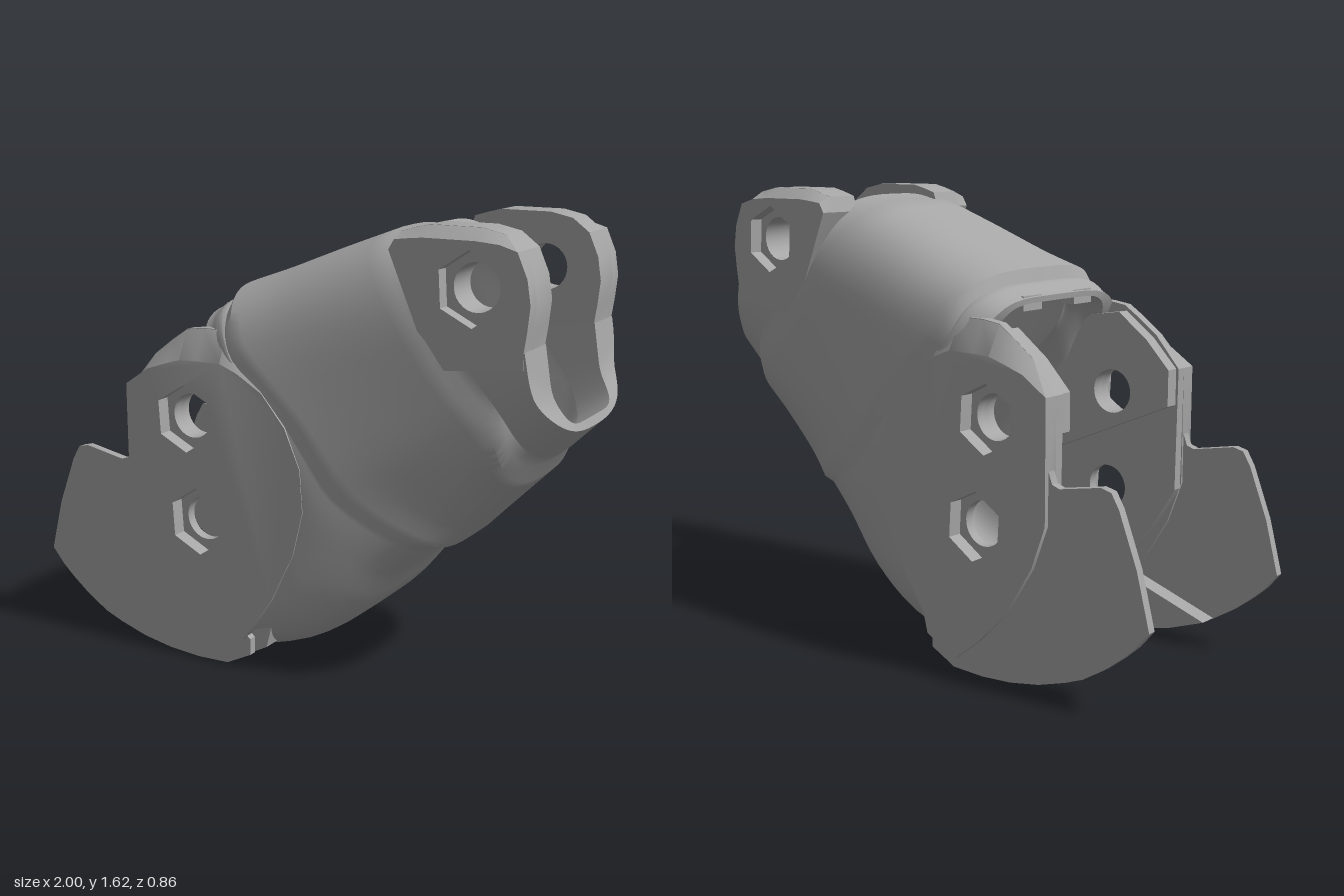
import * as THREE from 'three';
import { toCreasedNormals } from 'three/addons/utils/BufferGeometryUtils.js';

const grey = new THREE.MeshStandardMaterial({ color: 0xa6a6a6 });
grey.name = 'grey plastic';

// Cross-sections: top x y, bottom x y, half width, squareness,
// x shift at 1/4, 1/2 and 3/4 height, side wall, top wall, bottom wall
const knuckle = [
  [-0.33, 1.275, -0.22, 0.008, 0.42, 4.6, 0.2, 0.2, 0.12, 0.09, 0.02, 0.05],
  [-0.31, 1.285, 0.05, 0.088, 0.422, 4.6, 0.1, 0.12, 0.06, 0.11, 0.02, 0.06],
  [-0.29, 1.3, 0.25, 0.225, 0.423, 4.6, 0, 0.06, 0, 0.15, 0.025, 0.06],
  [-0.275, 1.31, 0.4, 0.4, 0.423, 4.4, -0.05, 0, -0.03, 0.2, 0.03, 0.06],
  [-0.26, 1.315, 0.52, 0.508, 0.418, 4.1, -0.1, -0.06, -0.08, 0.215, 0.03, 0.06],
];
const sleeve = [
  [-0.245, 1.362, 0.58, 0.515, 0.428, 3.6, -0.1, -0.06, -0.08, 0.23, 0.07, 0.07],
  [-0.1, 1.415, 0.65, 0.585, 0.414, 3.3, -0.05, -0.04, -0.06, 0.215, 0.07, 0.07],
  [0.1, 1.495, 0.75, 0.685, 0.4, 3.15, 0.02, -0.01, -0.02, 0.195, 0.07, 0.07],
  [0.32, 1.578, 0.835, 0.77, 0.391, 3, 0.08, 0.03, 0.02, 0.18, 0.065, 0.065],
];
const rim = [
  [0.36, 1.575, 0.86, 0.825, 0.379, 3, 0.08, 0.03, 0.02, 0.165, 0.05, 0.06],
  [0.45, 1.597, 0.9, 0.862, 0.379, 2.9, 0.03, 0, 0, 0.164, 0.05, 0.05],
];
const lip = [0.87, 1.55, 1, 0.96, 0.385, 2.6, -0.04, -0.032, 0, 0.17, 0.03, 0.03];

// Adds smooth in-between sections
function refine(list, parts) {
  const out = [];
  const at = i => list[Math.max(0, Math.min(list.length - 1, i))];
  for (let i = 0; i < list.length - 1; i++)
    for (let k = 0; k < parts; k++) {
      const t = k / parts;
      out.push(list[i].map((p, c) => {
        const q = at(i + 1)[c], m0 = (q - at(i - 1)[c]) / 2, m1 = (at(i + 2)[c] - p) / 2;
        const d = q - p;
        return p + m0 * t + (3 * d - 2 * m0 - m1) * t * t + (m0 + m1 - 2 * d) * t * t * t;
      }));
    }
  return [...out, list[list.length - 1]];
}

const power = (v, e) => Math.sign(v) * Math.pow(Math.abs(v), e);

function sectionPoint(section, angle, inner) {
  const [tx, ty, bx, by, w, squareness, b1, b2, b3, side, topWall, bottomWall] = section;
  const n = inner ? 6 : squareness;
  const height = Math.hypot(tx - bx, ty - by);
  const low = inner ? bottomWall / height : 0, high = inner ? 1 - topWall / height : 1;
  const h = low + (high - low) * (0.5 + 0.5 * power(Math.sin(angle), 2 / n));
  const z = (w - (inner ? side : 0)) * power(Math.cos(angle), 2 / n);
  const bow = [0, b1, b2, b3, 0];
  const k = Math.min(3, Math.floor(h * 4)), f = h * 4 - k;
  const shift = bow[k] + (bow[k + 1] - bow[k]) * f * f * (3 - 2 * f);
  return [bx + (tx - bx) * h + shift, by + (ty - by) * h, z];
}

// Hollow loft: outside forwards, inside backwards, closed at both ends
function shell(sections, from, to, steps) {
  const rows = [
    ...sections.map(s => [s, false]),
    ...sections.slice().reverse().map(s => [s, true]),
    [sections[0], false],
  ];
  const pos = [], index = [];
  for (const [s, inner] of rows)
    for (let j = 0; j <= steps; j++)
      pos.push(...sectionPoint(s, from + (to - from) * j / steps, inner));
  for (let i = 0; i < rows.length - 1; i++)
    for (let j = 0; j < steps; j++) {
      const a = i * (steps + 1) + j, b = a + steps + 1;
      index.push(a, b, a + 1, b, b + 1, a + 1);
    }
  const g = new THREE.BufferGeometry();
  g.setAttribute('position', new THREE.Float32BufferAttribute(pos, 3));
  g.setIndex(index);
  return toCreasedNormals(g, 0.55);
}

// Flat plate on one side; on its outer face, heights above a level are
// pulled down so that the top edge slopes
function plate(points, z0, z1, side, holes = [], level = 9, slope = 1) {
  const shape = new THREE.Shape(points.map(p => new THREE.Vector2(...p)));
  for (const [x, y, r, sides] of holes) {
    const ring = [];
    for (let i = 0; i < sides; i++) {
      const a = i / sides * Math.PI * 2 + Math.PI / 2 + 0.06;
      ring.push(new THREE.Vector2(x + r * Math.cos(a), y + r * Math.sin(a)));
    }
    shape.holes.push(new THREE.Path(ring));
  }
  const g = new THREE.ExtrudeGeometry(shape, { depth: z1 - z0, bevelEnabled: false });
  g.translate(0, 0, side > 0 ? z0 : -z1);
  const p = g.attributes.position;
  for (let i = 0; i < p.count; i++) {
    const y = p.getY(i);
    if (Math.abs(p.getZ(i)) > z1 - 0.001 && y > level) p.setY(i, level + (y - level) * slope);
  }
  return toCreasedNormals(g, 0.5);
}

const pins = [[-0.355, 0.9], [-0.305, 0.53]];
const lugPin = [[0.717, 1.435]];
const hex = list => list.map(([x, y]) => [x, y, 0.122, 6]);
const round = list => list.map(([x, y]) => [x, y, 0.08, 28]);

const tail = [[-1, 0.31], [-0.95, 0.25], [-0.9, 0.205], [-0.83, 0.15], [-0.75, 0.1], [-0.68, 0.072],
  [-0.57, 0.037], [-0.45, 0.015], [-0.33, 0.006], [-0.2, 0.01], [-0.1, 0.06], [-0.1, 0.12],
  [-0.25, 0.25], [-0.5, 0.5], [-0.55, 0.9], [-0.603, 0.85], [-0.605, 0.76], [-0.62, 0.72],
  [-0.65, 0.71], [-0.81, 0.74], [-0.85, 0.73], [-0.88, 0.68], [-0.95, 0.5]];
const shoulder = [[-0.13, 1.16], [-0.2, 1.22], [-0.3, 1.22], [-0.37, 1.21], [-0.43, 1.17],
  [-0.51, 1.11], [-0.605, 1]];
const cheek = [[-0.605, 0.58], [-0.55, 0.43], [-0.44, 0.25], [-0.32, 0.13], [-0.22, 0.05],
  [-0.12, 0.12], [0, 0.29], [0.09, 0.47], [0.13, 0.63], [0.12, 0.78], [0.06, 0.92], [-0.03, 1.03],
  ...shoulder];
const backing = [[-0.6, 0.56], [-0.5, 0.4], [-0.3, 0.15], [-0.15, 0.15], [0, 0.35],
  [0.08, 0.65], [0, 0.95], ...shoulder];
const boss = [[-0.595, 0.87], [-0.06, 0.64], [-0.06, 0.9], [-0.13, 1.06], [-0.25, 1.17], [-0.38, 1.19],
  [-0.5, 1.1], [-0.595, 1]];
const ledge = [[-0.75, 0.102], [-0.6, 0.048], [-0.45, 0.016], [-0.33, 0.007], [-0.2, 0.012],
  [-0.05, 0.09], [0.02, 0.36]];
const lug = [[0.43, 1.54], [0.45, 1.595], [0.5, 1.61], [0.55, 1.622], [0.73, 1.622], [0.81, 1.605],
  [0.87, 1.56], [0.905, 1.48], [0.918, 1.4], [0.91, 1.32], [0.9, 1.25], [0.9, 1.2], [0.62, 1.17],
  [0.54, 1.28]];

export function createModel() {
  const model = new THREE.Group();
  model.name = 'hingedSegment';
  const add = (name, geometry, parent = model) => {
    const mesh = new THREE.Mesh(geometry, grey);
    mesh.name = name;
    parent.add(mesh);
    return mesh;
  };

  // Hollow body and the open U-shaped end
  const body = [...refine(knuckle, 4), ...refine(sleeve, 3), ...rim];
  add('bodyShell', shell(body, 0, Math.PI * 2, 72));
  add('endLip', shell([rim[1], lip], Math.PI, Math.PI * 2, 36));

  for (const side of [1, -1]) {
    const half = new THREE.Group();
    half.name = side > 0 ? 'leftSide' : 'rightSide';
    model.add(half);
    // Cheek with nut recesses outside and pin holes inside
    add('cheekOuter', plate(cheek, 0.37, 0.425, side, hex(pins), 1.025, 0.45), half);
    add('cheekInner', plate(backing, 0.335, 0.371, side, round(pins)), half);
    add('cheekBoss', plate(boss, 0.285, 0.336, side, round(pins.slice(0, 1))), half);
    // Thin tail guard with a sloping ledge along its lower edge
    add('tailGuard', plate(tail, 0.378, 0.408, side), half);
    add('tailLedge', plate(ledge, 0.31, 0.379, side), half);
    // Hinge lug at the open end
    add('lugOuter', plate(lug, 0.335, 0.386, side, hex(lugPin), 1.56, 0.4), half);
    add('lugInner', plate(lug, 0.215, 0.336, side, round(lugPin)), half);
    // Small stop under the upper edge of the mouth
    const stop = add('mouthStop', new THREE.BoxGeometry(0.06, 0.05, 0.1), half);
    stop.position.set(-0.295, 1.255, side * 0.14);
  }
  return model;
}
